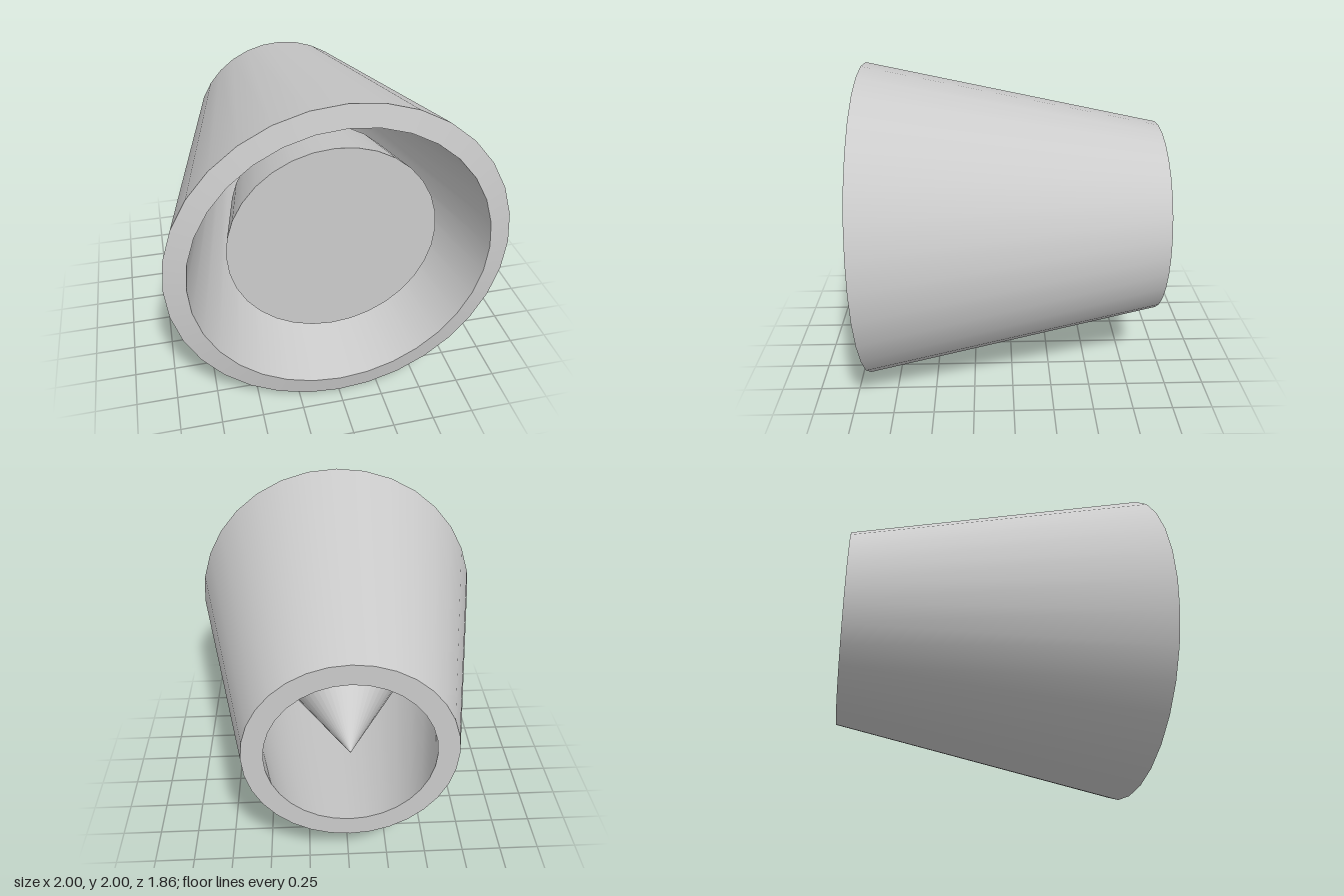
import * as THREE from 'three';
import { mergeGeometries } from 'three/addons/utils/BufferGeometryUtils.js';

const SIDES = 32;

// Revolve [radius, z] points about the z axis; each span is smooth around, sharp at its ends
function revolve(name, profile, material) {
  const spans = [];
  for (let i = 0; i < profile.length - 1; i++) {
    const ends = [profile[i], profile[i + 1]].map(([r, z]) => new THREE.Vector2(r, z));
    spans.push(new THREE.LatheGeometry(ends, SIDES));
  }
  const geometry = mergeGeometries(spans);
  geometry.rotateX(Math.PI / 2);
  const mesh = new THREE.Mesh(geometry, material);
  mesh.name = name;
  return mesh;
}

export function createModel() {
  const model = new THREE.Group();
  model.name = 'nozzle';
  const material = new THREE.MeshStandardMaterial({ color: 0xcccccc });

  // Hollow tapered shell: rear rim, outer wall, bevelled front lip, inner wall
  model.add(revolve('shell', [
    [0.49, -0.93], [0.615, -0.93], [1.0, 0.905], [0.875, 0.93], [0.49, -0.93],
  ], material));

  // Centre plug: pointed tail, gently tapered body, flat front disc
  model.add(revolve('centrePlug', [
    [0, -0.9], [0.54, 0.25], [0.63, 0.69], [0, 0.69],
  ], material));

  model.position.y = 1;
  return model;
}
